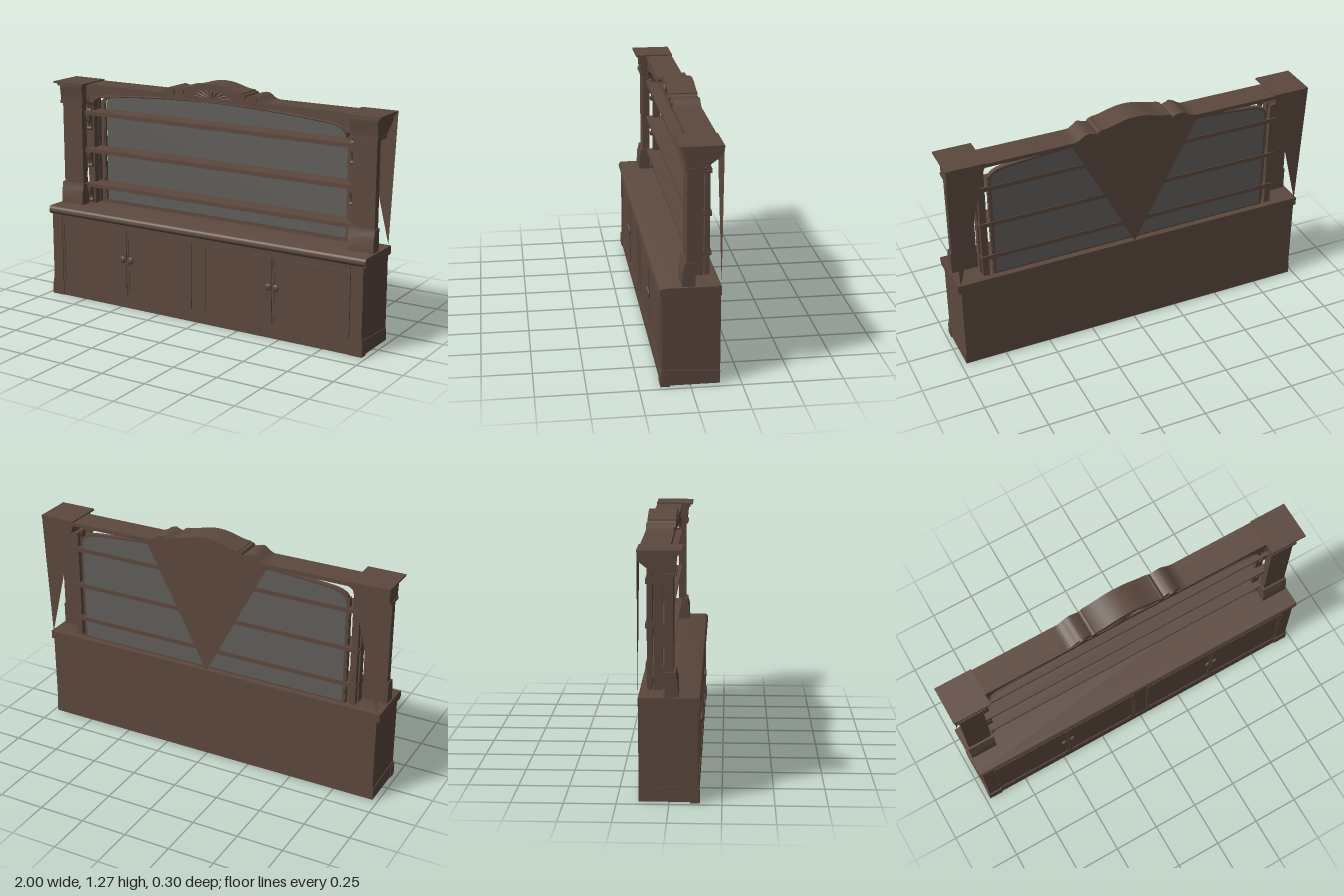
import * as THREE from 'three';
import { toCreasedNormals } from 'three/addons/utils/BufferGeometryUtils.js';

const wood = new THREE.MeshStandardMaterial({ color: 0x5c483e });
wood.name = 'dark wood';
const sheet = new THREE.MeshStandardMaterial({ color: 0x5c483e, side: THREE.DoubleSide });
sheet.name = 'dark wood sheet';
const glass = new THREE.MeshStandardMaterial({ color: 0x605e5a, side: THREE.DoubleSide });
glass.name = 'mirror grey';

export function createModel() {
  const model = new THREE.Group();
  model.name = 'mirrorBackSideboard';

  const add = (name, geo, mat = wood) => {
    const mesh = new THREE.Mesh(geo, mat);
    mesh.name = name;
    model.add(mesh);
    return mesh;
  };
  // Box given by its limits on each axis
  const box = (name, x0, x1, y0, y1, z0, z1) => {
    const g = new THREE.BoxGeometry(Math.abs(x1 - x0), y1 - y0, z1 - z0);
    g.translate((x0 + x1) / 2, (y0 + y1) / 2, (z0 + z1) / 2);
    return add(name, g);
  };
  const polygon = (pts) => new THREE.Shape(pts.map(([a, b]) => new THREE.Vector2(a, b)));
  // Front outline pushed back to front
  const extrudeZ = (name, shape, z0, z1) => {
    const g = new THREE.ExtrudeGeometry(shape, { depth: z1 - z0, bevelEnabled: false, curveSegments: 16 });
    g.translate(0, 0, z0);
    return add(name, toCreasedNormals(g, 0.6));
  };
  // Side profile of [z, y] points swept along x
  const extrudeX = (name, pts, xa, xb) => {
    const x0 = Math.min(xa, xb), x1 = Math.max(xa, xb);
    const g = new THREE.ExtrudeGeometry(polygon(pts), { depth: x1 - x0, bevelEnabled: false });
    g.rotateY(-Math.PI / 2);
    g.translate(x1, 0, 0);
    return add(name, toCreasedNormals(g, 0.8));
  };

  // Lower cabinet and plinth
  box('cabinetBody', -0.97, 0.97, 0.005, 0.48, -0.145, 0.134);
  box('frontPlinth', -0.905, 0.905, 0, 0.062, 0.13, 0.14);
  box('topRail', -0.9, 0.9, 0.445, 0.475, 0.13, 0.139);
  box('centreStile', -0.036, 0.036, 0.062, 0.45, 0.13, 0.137);

  // Counter with a rounded front edge
  const counter = [[-0.145, 0.47], [0.135, 0.468]];
  for (let i = 0; i <= 10; i++) {
    const a = -Math.PI / 2 + (i / 10) * Math.PI;
    counter.push([0.133 + 0.018 * Math.cos(a), 0.4925 + 0.0225 * Math.sin(a)]);
  }
  counter.push([-0.145, 0.515]);
  extrudeX('counterTop', counter, -0.985, 0.985);

  // Four framed doors with knobs
  for (const [x0, x1, knobX] of [[-0.9, -0.463, -0.485], [-0.459, -0.04, -0.433],
    [0.04, 0.453, 0.433], [0.457, 0.9, 0.477]]) {
    const y0 = 0.07, y1 = 0.44, w = 0.012;
    const frame = polygon([[x0, y0], [x1, y0], [x1, y1], [x0, y1]]);
    frame.holes.push(polygon([[x0 + w, y0 + w], [x0 + w, y1 - w], [x1 - w, y1 - w], [x1 - w, y0 + w]]));
    extrudeZ('doorFrame', frame, 0.13, 0.141);
    box('doorPanel', x0 + w, x1 - w, y0 + w, y1 - w, 0.13, 0.137);
    const knob = new THREE.SphereGeometry(0.018, 16, 10);
    knob.scale(1, 1.1, 0.5);
    knob.translate(knobX, 0.277, 0.143);
    add('doorKnob', knob);
  }

  // Arch outline shared by the mirror, its frame and the spandrel
  const archPoints = (halfWidth, lift) => {
    const path = new THREE.Path();
    path.moveTo(-halfWidth, 1.07 + lift);
    path.quadraticCurveTo(-halfWidth, 1.125 + lift, -halfWidth + 0.09, 1.135 + lift);
    path.quadraticCurveTo(-0.35, 1.168 + lift, 0, 1.17 + lift);
    path.quadraticCurveTo(0.35, 1.168 + lift, halfWidth - 0.09, 1.135 + lift);
    path.quadraticCurveTo(halfWidth, 1.125 + lift, halfWidth, 1.07 + lift);
    return path.getPoints(12).map((p) => [p.x, p.y]);
  };
  const panel = (halfWidth, lift, y0) => [[-halfWidth, y0], ...archPoints(halfWidth, lift), [halfWidth, y0]];

  // Mirror and its slim frame
  const mirror = new THREE.ShapeGeometry(polygon(panel(0.765, 0, 0.525)));
  mirror.translate(0, 0, -0.115);
  add('mirror', mirror, glass);
  const frame = polygon(panel(0.778, 0.01, 0.515));
  frame.holes.push(polygon(panel(0.757, -0.006, 0.535)));
  extrudeZ('mirrorFrame', frame, -0.113, -0.088);

  // Top slab, fascia with arched underside, and arch moulding
  box('topSlab', -0.82, 0.82, 1.183, 1.203, -0.145, 0);
  extrudeZ('archedFascia', polygon([[-0.835, 1.2], [-0.835, 1.1], [-0.79, 1.1],
    ...archPoints(0.785, 0.003), [0.79, 1.1], [0.835, 1.1], [0.835, 1.2]]), -0.04, -0.01);
  const archCurve = new THREE.CatmullRomCurve3(archPoints(0.785, 0.006).map(([x, y]) => new THREE.Vector3(x, y, -0.01)));
  add('archMoulding', new THREE.TubeGeometry(archCurve, 80, 0.006, 6));

  // Shelves
  for (const y of [0.615, 0.815, 1.027]) {
    box('shelf', -0.84, 0.84, y, y + 0.014, -0.118, -0.004);
    box('shelfLip', -0.835, 0.835, y + 0.012, y + 0.023, -0.118, 0);
  }

  for (const s of [-1, 1]) {
    // Corner strips of the lower cabinet
    box('cabinetCornerStrip', s * 0.905, s * 0.97, 0.06, 0.47, 0.13, 0.139);
    box('cornerPlinth', s * 0.9, s * 0.977, 0, 0.065, 0.1, 0.145);
    extrudeX('sidePlinth', [[-0.145, 0.005], [0.14, 0.005], [0.14, 0.088], [-0.145, 0.07]], s * 0.96, s * 0.974);

    // Front pilaster: base, shaft, neck and capital
    extrudeX('pilasterBase', [[-0.02, 0.515], [0.043, 0.515], [0.04, 0.59], [0.033, 0.612],
      [0.03, 0.634], [-0.02, 0.634]], s * 0.83, s * 0.975);
    box('pilasterShaft', s * 0.838, s * 0.968, 0.63, 1.1, -0.02, 0.02);
    box('pilasterNeck', s * 0.825, s * 0.978, 1.085, 1.1, -0.07, 0.033);
    extrudeX('capitalBlock', [[-0.145, 1.2], [-0.145, 1.158], [-0.07, 1.1], [0.028, 1.1], [0.032, 1.15],
      [0.036, 1.165], [0.038, 1.2]], s * 0.825, s * 0.975);
    box('capitalMoulding', s * 0.815, s * 0.985, 1.185, 1.202, -0.145, 0.046);
    box('capitalTop', s * 0.8, s, 1.2, 1.21, -0.148, 0.06);

    // Posts carrying the shelves
    box('outerPost', s * 0.797, s * 0.84, 0.515, 1.13, -0.077, -0.037);
    box('innerPost', s * 0.762, s * 0.782, 0.515, 1.1, -0.11, -0.085);
    box('rearPost', s * 0.8, s * 0.835, 0.515, 1.13, -0.11, -0.085);

    // Scrolled shelf brackets
    for (const y of [0.615, 0.815, 1.027, 1.13]) {
      extrudeX('shelfBracket', [[-0.04, y], [-0.04, y - 0.09], [-0.03, y - 0.085], [-0.027, y - 0.055],
        [-0.012, y - 0.035], [-0.006, y - 0.015], [-0.006, y]], s * 0.808, s * 0.832);
      const roll = new THREE.CylinderGeometry(0.011, 0.011, 0.03, 12);
      roll.rotateZ(Math.PI / 2);
      roll.translate(s * 0.82, y - 0.08, -0.03);
      add('bracketScroll', roll);
    }

    // Tapering back sheet behind each pilaster
    const corner = new THREE.ShapeGeometry(polygon([[s * 0.8, 1.203], [s, 1.203], [s * 0.97, 0.515]]));
    corner.translate(0, 0, -0.146);
    add('cornerBackSheet', corner, sheet);

    // Volute at the end of the crest
    for (const [x, y, r] of [[0.255, 1.213, 0.022], [0.19, 1.222, 0.016]]) {
      const volute = new THREE.CylinderGeometry(r, r, 0.146, 18);
      volute.rotateX(Math.PI / 2);
      volute.translate(s * x, y, -0.07);
      add('crestVolute', volute);
    }
  }

  // Crest: low scrolled wings and a raised arch
  const crest = new THREE.Shape();
  crest.moveTo(-0.34, 1.17);
  crest.lineTo(-0.34, 1.203);
  crest.bezierCurveTo(-0.29, 1.205, -0.29, 1.238, -0.25, 1.236);
  crest.quadraticCurveTo(-0.22, 1.232, -0.205, 1.222);
  crest.lineTo(-0.175, 1.238);
  crest.bezierCurveTo(-0.11, 1.242, -0.09, 1.268, 0, 1.27);
  crest.bezierCurveTo(0.09, 1.268, 0.11, 1.242, 0.175, 1.238);
  crest.lineTo(0.205, 1.222);
  crest.quadraticCurveTo(0.22, 1.232, 0.25, 1.236);
  crest.bezierCurveTo(0.29, 1.238, 0.29, 1.205, 0.34, 1.203);
  crest.lineTo(0.34, 1.17);
  extrudeZ('crest', crest, -0.145, -0.006);

  // Moulded cap following the raised arch
  const cap = new THREE.Shape();
  cap.moveTo(-0.185, 1.228);
  cap.lineTo(-0.185, 1.242);
  cap.bezierCurveTo(-0.11, 1.246, -0.09, 1.273, 0, 1.275);
  cap.bezierCurveTo(0.09, 1.273, 0.11, 1.246, 0.185, 1.242);
  cap.lineTo(0.185, 1.228);
  cap.bezierCurveTo(0.11, 1.232, 0.09, 1.254, 0, 1.256);
  cap.bezierCurveTo(-0.09, 1.254, -0.11, 1.232, -0.185, 1.228);
  extrudeZ('crestCap', cap, -0.145, 0.002);

  // Carved fan in the crest
  for (let i = 0; i < 9; i++) {
    const a = Math.PI * (0.06 + (0.88 * i) / 8);
    const dx = 0.12 * Math.cos(a), dy = 0.052 * Math.sin(a);
    const rib = new THREE.SphereGeometry(1, 10, 6);
    rib.scale(Math.hypot(dx, dy) * 0.45, 0.006, 0.006);
    rib.rotateZ(Math.atan2(dy, dx));
    rib.translate(dx * 0.55, 1.193 + dy * 0.55, -0.005);
    add('fanRib', rib);
  }

  // Large tapering sheet on the back, below the crest
  const centre = new THREE.ShapeGeometry(polygon([[-0.35, 1.19], [0, 0.515], [0.35, 1.19]]));
  centre.translate(0, 0, -0.146);
  add('centreBackSheet', centre, sheet);

  return model;
}
